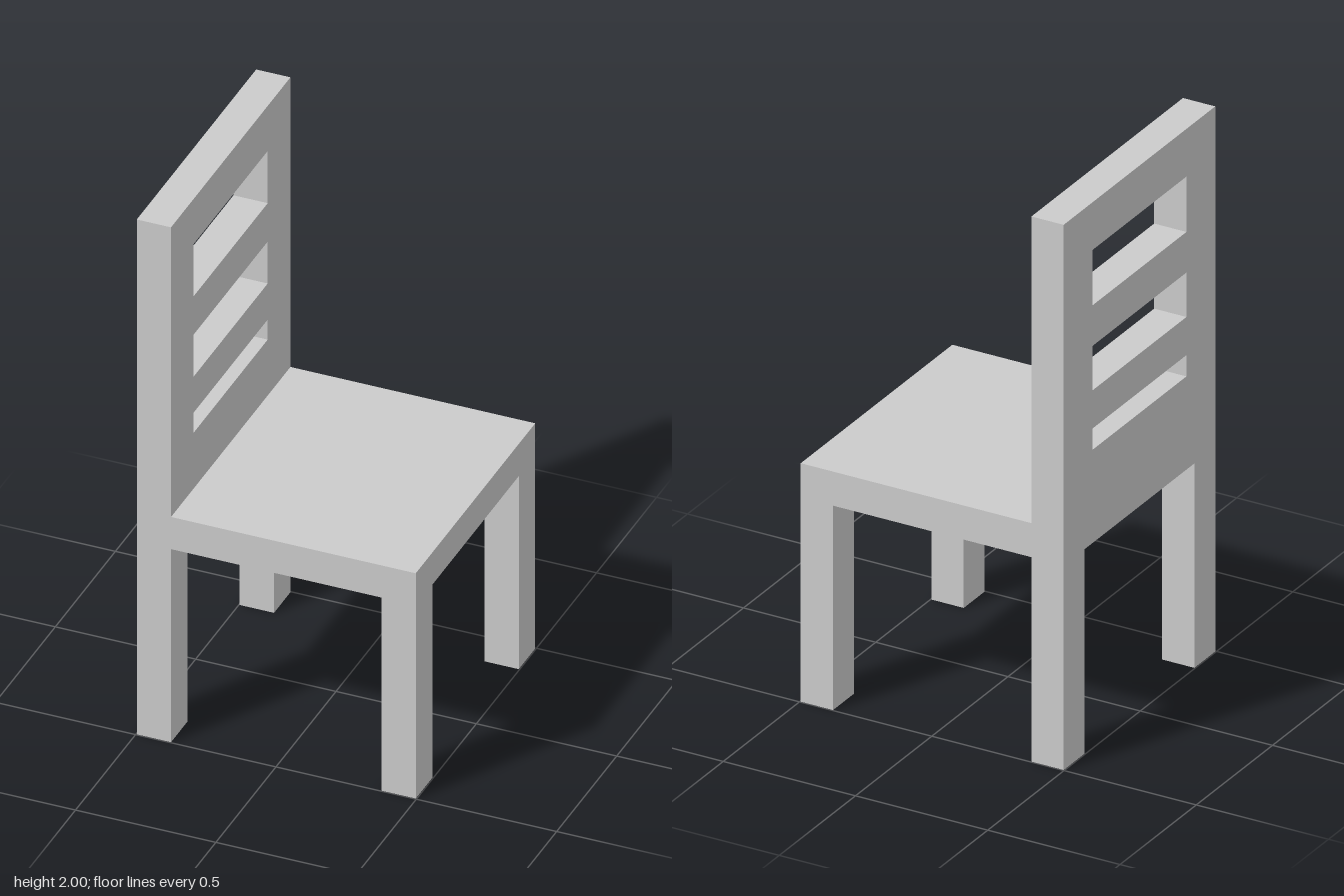
import * as THREE from 'three';

const HALF = 0.497;      // half the chair's width and depth
const THICK = 0.122;     // back panel thickness and leg depth
const LEG_INNER = 0.36;  // inner face of the legs
const SEAT_LOW = 0.75;
const SEAT_TOP = 0.875;

export function createModel() {
  const chair = new THREE.Group();
  chair.name = 'chair';
  const material = new THREE.MeshStandardMaterial({ color: 0xcccccc, flatShading: true });

  const add = (name, geometry, x, y, z) => {
    const mesh = new THREE.Mesh(geometry, material);
    mesh.name = name;
    mesh.position.set(x, y, z);
    chair.add(mesh);
  };

  // Back panel and rear legs, cut from one board
  const board = new THREE.Shape([
    [-HALF, 0], [-LEG_INNER, 0], [-LEG_INNER, SEAT_LOW], [LEG_INNER, SEAT_LOW],
    [LEG_INNER, 0], [HALF, 0], [HALF, 2], [-HALF, 2],
  ].map(([x, y]) => new THREE.Vector2(x, y)));

  // Three slots, narrowing downwards
  const slot = 0.308;
  for (const [low, high] of [[1.092, 1.17], [1.31, 1.473], [1.622, 1.825]]) {
    board.holes.push(new THREE.Path([
      new THREE.Vector2(-slot, low), new THREE.Vector2(-slot, high),
      new THREE.Vector2(slot, high), new THREE.Vector2(slot, low),
    ]));
  }
  const backGeometry = new THREE.ExtrudeGeometry(board, { depth: THICK, bevelEnabled: false });
  backGeometry.rotateY(Math.PI / 2);
  add('backAndRearLegs', backGeometry, -HALF, 0, 0);

  // Seat, butted against the back panel
  const seatDepth = 2 * HALF - THICK;
  add('seat', new THREE.BoxGeometry(seatDepth, SEAT_TOP - SEAT_LOW, 2 * HALF),
    THICK / 2, (SEAT_LOW + SEAT_TOP) / 2, 0);

  // Front legs
  const legWidth = HALF - LEG_INNER;
  for (const side of [1, -1]) {
    add(side > 0 ? 'frontLegA' : 'frontLegB', new THREE.BoxGeometry(THICK, SEAT_LOW, legWidth),
      HALF - THICK / 2, SEAT_LOW / 2, side * (HALF - legWidth / 2));
  }

  return chair;
}
